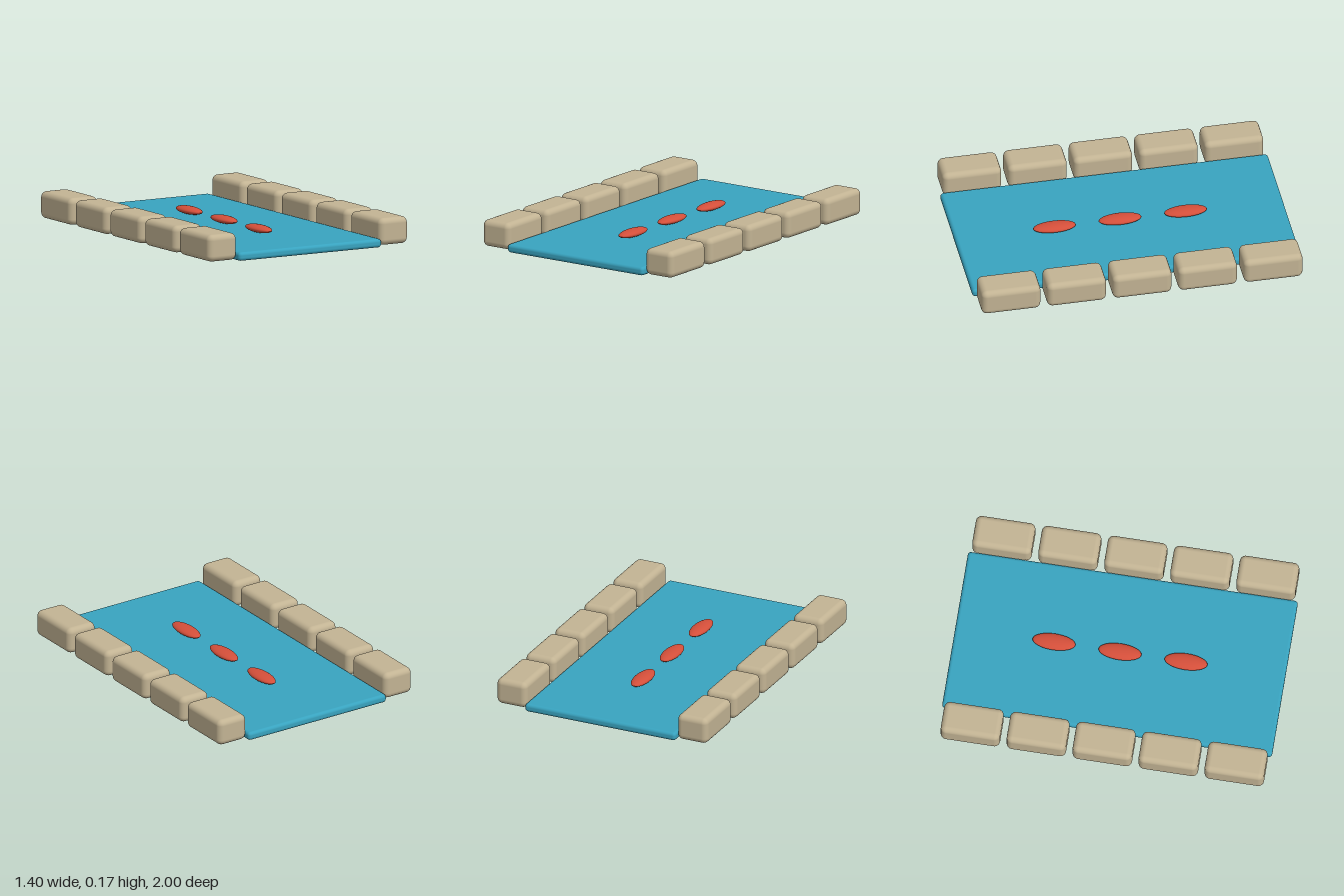
import * as THREE from 'three';
import { RoundedBoxGeometry } from 'three/addons/geometries/RoundedBoxGeometry.js';

const material = (name, color) => {
  const m = new THREE.MeshStandardMaterial({ color });
  m.name = name;
  return m;
};

export function createModel() {
  const group = new THREE.Group();
  group.name = 'pond';
  const water = material('waterBlue', 0x38a3bf);
  const stone = material('sandStone', 0xc2b393);
  const red = material('fishRed', 0xd44f3a);

  const add = (name, geometry, mat, x, y, z) => {
    const mesh = new THREE.Mesh(geometry, mat);
    mesh.name = name;
    mesh.position.set(x, y, z);
    group.add(mesh);
  };

  // Flat slab of water with rounded rims
  add('water', new RoundedBoxGeometry(1, 0.052, 2, 3, 0.02), water, 0, 0.026, 0);

  // Row of five rounded stones along each long side
  const stoneGeometry = new RoundedBoxGeometry(0.2, 0.163, 0.36, 4, 0.035);
  for (const side of [-1, 1]) {
    for (let i = -2; i <= 2; i++) {
      add(side > 0 ? 'leftStone' : 'rightStone', stoneGeometry, stone, side * 0.6, 0.088, i * 0.4);
    }
  }

  // Three slender fish resting on the surface
  const fishGeometry = new THREE.SphereGeometry(1, 32, 20).scale(0.052, 0.023, 0.13);
  for (let i = -1; i <= 1; i++) {
    add('fish', fishGeometry, red, 0, 0.075, i * 0.4);
  }
  return group;
}
